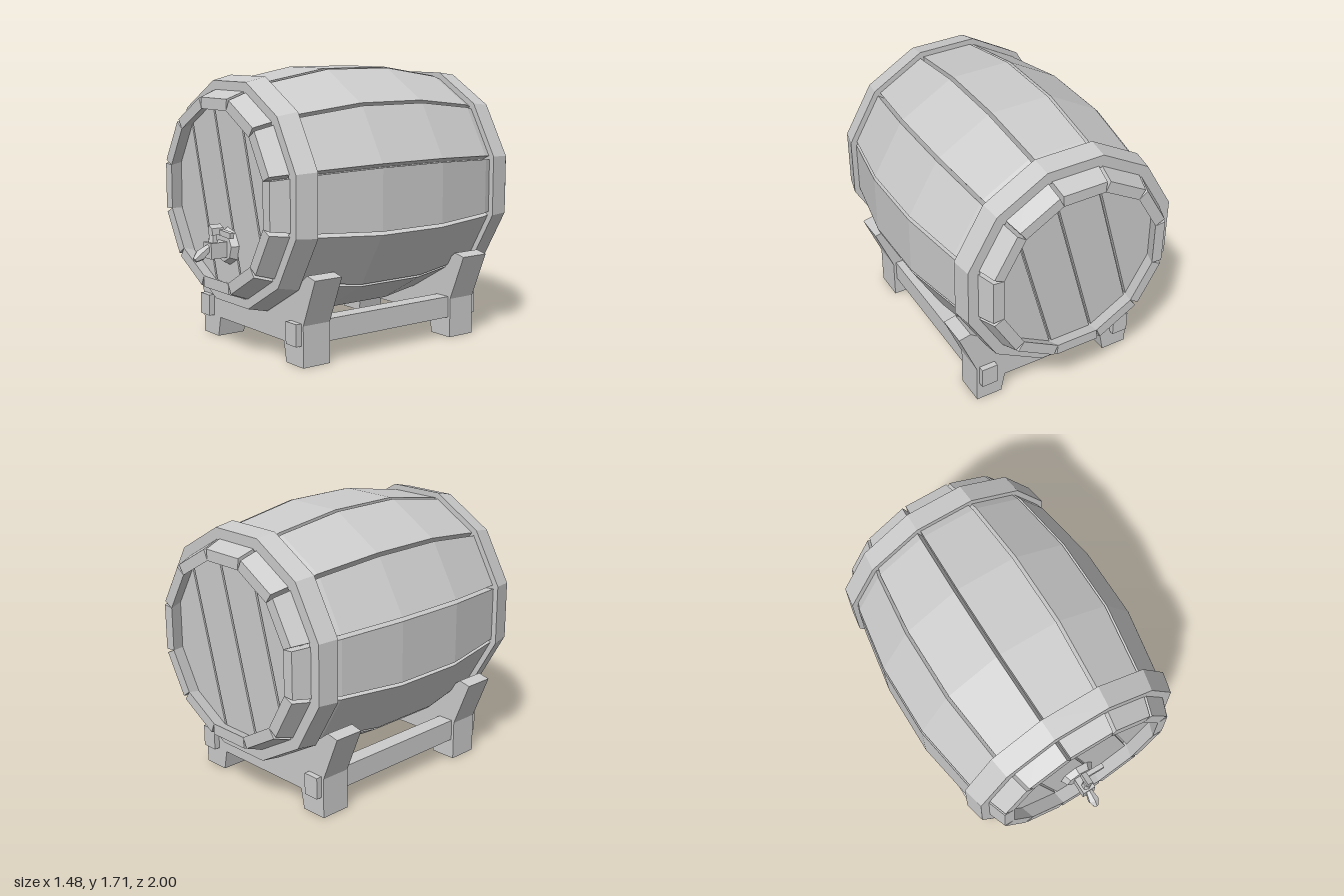
import * as THREE from 'three';

const SIDES = 12, HALF = Math.PI / SIDES, CY = 0.969;
const mat = new THREE.MeshStandardMaterial({ color: 0xcccccc, flatShading: true });

function add(parent, name, geo, x = 0, y = 0, z = 0) {
  const m = new THREE.Mesh(geo, mat);
  m.name = name;
  m.position.set(x, y, z);
  parent.add(m);
  return m;
}

const box = (w, h, d) => new THREE.BoxGeometry(w, h, d);

// One curved plank on top of the barrel: four-cornered sections joined along z
function staveGeometry() {
  const profile = [[0.84, 0.573], [0.6, 0.663], [0.165, 0.738], [-0.3, 0.738], [-0.72, 0.674], [-1, 0.573]];
  const pos = [], idx = [], t = Math.tan(HALF);
  for (const [z, r] of profile) {
    const inner = r - 0.068, wo = r * t - 0.012, wi = inner * t;
    pos.push(-wo, r, z, wo, r, z, wi, inner, z, -wi, inner, z);
  }
  for (let i = 0; i < profile.length - 1; i++) {
    for (let k = 0; k < 4; k++) {
      const a = i * 4 + k, b = i * 4 + (k + 1) % 4;
      idx.push(a, b, b + 4, a, b + 4, a + 4);
    }
  }
  const e = (profile.length - 1) * 4;
  idx.push(0, 2, 1, 0, 3, 2, e, e + 1, e + 2, e, e + 2, e + 3);
  const g = new THREE.BufferGeometry();
  g.setAttribute('position', new THREE.Float32BufferAttribute(pos, 3));
  g.setIndex(idx);
  g.computeVertexNormals();
  return g;
}

// Twelve-sided band, with a tapered outer face
function hoopGeometry(z0, r0, z1, r1) {
  const c = 1 / Math.cos(HALF);
  const pts = [[r0, z0], [r1, z1], [0.6, z1], [0.6, z0], [r0, z0]]
    .map(([r, z]) => new THREE.Vector2(r * c, z));
  return new THREE.LatheGeometry(pts, SIDES, HALF).rotateX(Math.PI / 2);
}

// Keep the part of a polygon where p.n >= d
function clip(poly, n, d) {
  const out = [];
  poly.forEach((p, i) => {
    const q = poly[(i + 1) % poly.length], a = p.dot(n) - d, b = q.dot(n) - d;
    if (a >= 0) out.push(p);
    if (a * b < 0) out.push(p.clone().lerp(q, a / (a - b)));
  });
  return out;
}

// Barrel end: four slanted planks over a backing board, outer face at z = 0
function makeHead(name) {
  const head = new THREE.Group();
  head.name = name;
  const outline = [], R = 0.545 / Math.cos(HALF);
  for (let i = 0; i < SIDES; i++) {
    const a = HALF + i * 2 * HALF;
    outline.push(new THREE.Vector2(R * Math.cos(a), R * Math.sin(a)));
  }
  const n = new THREE.Vector2(0.964, 0.265);
  const extrude = (pts, depth) =>
    new THREE.ExtrudeGeometry(new THREE.Shape(pts), { depth, bevelEnabled: false });
  const edges = [-0.7, -0.272, 0, 0.272, 0.7], gap = 0.007;
  for (let i = 0; i < 4; i++) {
    let p = clip(outline, n, edges[i] + gap);
    p = clip(p, n.clone().negate(), -(edges[i + 1] - gap));
    add(head, 'headPlank', extrude(p, 0.03), 0, 0, -0.03);
  }
  add(head, 'headBacking', extrude(outline, 0.02), 0, 0, -0.045);
  return head;
}

// Cradle frame cut out to follow the barrel, with two feet
function cradleGeometry() {
  const right = [[0.35, 0.125], [0.375, 0], [0.545, 0], [0.545, 0.25], [0.66, 0.535], [0.583, 0.552], [0.485, 0.475], [0.18, 0.3]];
  const left = right.map(([x, y]) => [-x, y]).reverse();
  const s = new THREE.Shape([...right, ...left].map(([x, y]) => new THREE.Vector2(x, y)));
  return new THREE.ExtrudeGeometry(s, { depth: 0.192, bevelEnabled: false });
}

function makeTap() {
  const tap = new THREE.Group();
  tap.name = 'tap';
  // Flange against the barrel head
  add(tap, 'tapFlange', new THREE.CylinderGeometry(0.092, 0.115, 0.045, 8)
    .rotateY(0.1).rotateX(Math.PI / 2), 0, 0, 0.77);
  add(tap, 'tapBody', box(0.085, 0.095, 0.14), 0, -0.013, 0.83);
  // Stem and turning handle
  add(tap, 'tapStem', new THREE.CylinderGeometry(0.022, 0.032, 0.07, 6), 0, 0.06, 0.862);
  const knob = new THREE.Shape([[-0.012, 0], [0.035, 0], [0.03, 0.04], [-0.008, 0.058]]
    .map(([x, y]) => new THREE.Vector2(x, y)));
  add(tap, 'handleKnob', new THREE.ExtrudeGeometry(knob, { depth: 0.08, bevelEnabled: false }), 0, 0.08, 0.805);
  add(tap, 'tapHandle', box(0.14, 0.034, 0.03), 0.075, 0.09, 0.82).rotation.z = -0.06;
  // Spout sloping down and forward
  const spoutPts = [[0, -0.07], [0.017, -0.07], [0.036, -0.025], [0.022, 0.05], [0, 0.05]]
    .map(([r, y]) => new THREE.Vector2(r, y));
  add(tap, 'tapSpout', new THREE.LatheGeometry(spoutPts, 6), 0, -0.022, 0.93).rotation.x = -0.98;
  tap.position.set(0.008, 0.66, 0);
  return tap;
}

export function createModel() {
  const model = new THREE.Group();
  model.name = 'barrelOnStand';

  const barrel = new THREE.Group();
  barrel.name = 'barrel';
  barrel.position.y = CY;
  model.add(barrel);
  const stave = staveGeometry();
  for (let i = 0; i < SIDES; i++) add(barrel, 'stave', stave).rotation.z = i * 2 * HALF;
  add(barrel, 'frontHoop', hoopGeometry(0.6, 0.698, 0.73, 0.668));
  add(barrel, 'backHoop', hoopGeometry(-0.895, 0.674, -0.768, 0.692));

  const front = makeHead('frontHead'), back = makeHead('backHead');
  front.position.z = 0.75;
  back.position.z = -0.91;
  back.rotation.y = Math.PI;
  barrel.add(front, back);

  model.add(makeTap());

  // Stand: two cradles joined by a rail on each side
  const stand = new THREE.Group();
  stand.name = 'stand';
  model.add(stand);
  const cradle = cradleGeometry();
  add(stand, 'frontCradle', cradle, 0, 0, 0.402);
  add(stand, 'backCradle', cradle, 0, 0, -0.747);
  for (const s of [-1, 1]) add(stand, 'sideRail', box(0.104, 0.134, 1.415), s * 0.475, 0.195, -0.076);
  return model;
}
